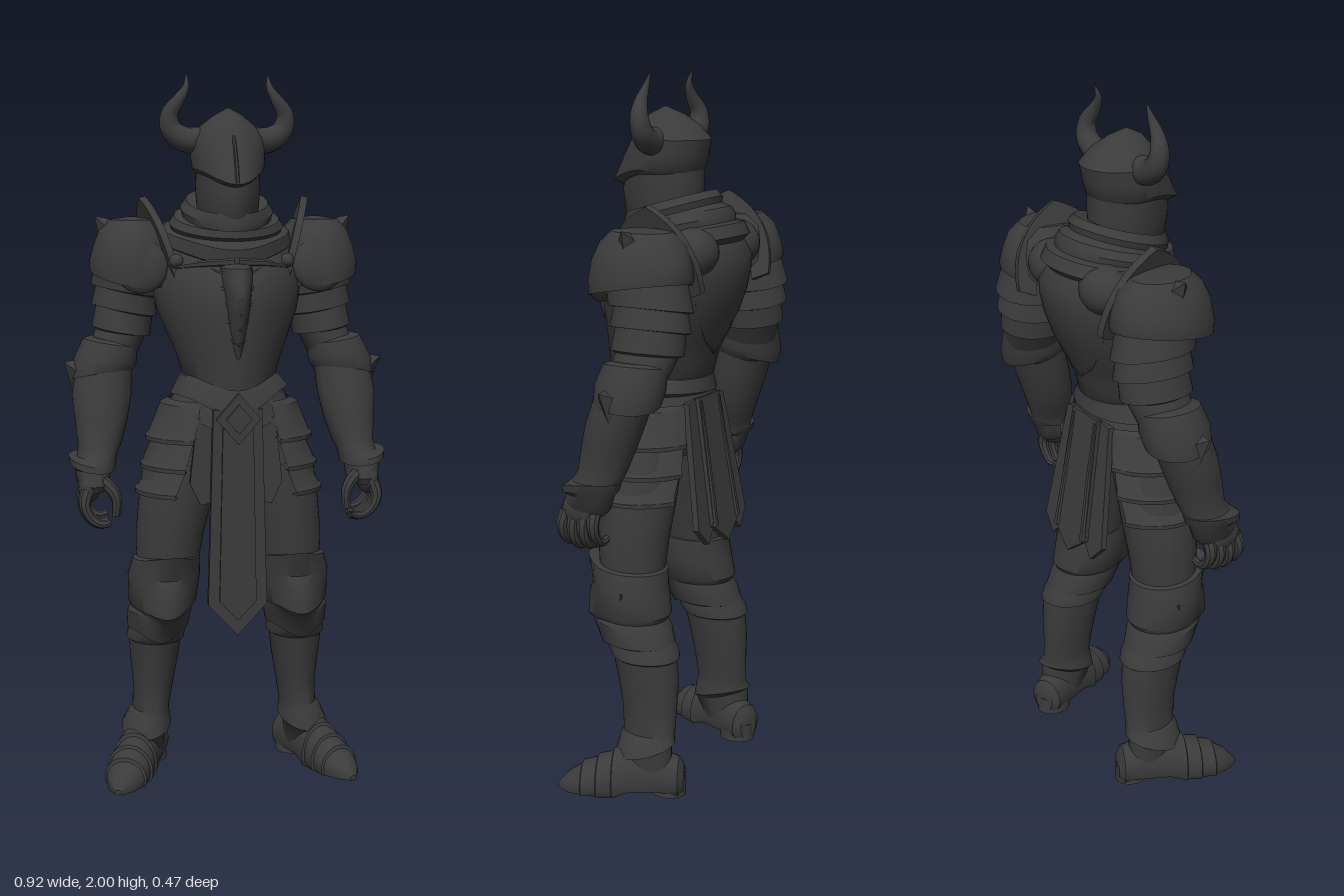
import * as THREE from 'three';
import { toCreasedNormals } from 'three/addons/utils/BufferGeometryUtils.js';

const darkSteel = new THREE.MeshStandardMaterial({ color: 0x3b3b3b, side: THREE.DoubleSide });
darkSteel.name = 'darkSteel';
const V = (p) => new THREE.Vector3(...p);

// Skin over horizontal rings, listed top to bottom.
// ring: [x, y, z, radiusX, radiusZ, tiltToFront, tiltToSide, prow, frontDip, prowSharpness]
function loft(rings, from = 0, to = 360, n = 36) {
  const pos = [], idx = [], open = to - from < 360;
  rings.forEach(([x, y, z, rx, rz, tz = 0, tx = 0, prow = 0, dip = 0, sharp = 5]) => {
    for (let j = 0; j <= n; j++) {
      const a = THREE.MathUtils.degToRad(from + (to - from) * j / n);
      const s = Math.sin(a), c = Math.cos(a), f = Math.pow(Math.max(0, c), sharp);
      pos.push(x + rx * s, y + tz * c + tx * s + dip * f, z + rz * c + prow * f);
    }
  });
  const w = n + 1, last = (rings.length - 1) * w;
  for (let i = 0; i < rings.length - 1; i++) for (let j = 0; j < n; j++) {
    const a = i * w + j, b = a + w;
    idx.push(a, b, a + 1, a + 1, b, b + 1);
  }
  if (!open) [[0, rings[0]], [last, rings.at(-1)]].forEach(([start, r], k) => {
    const c = pos.length / 3;
    pos.push(r[0], r[1], r[2]);
    for (let j = 0; j < n; j++) idx.push(c, start + j + k, start + j + 1 - k);
  });
  const g = new THREE.BufferGeometry();
  g.setAttribute('position', new THREE.Float32BufferAttribute(pos, 3));
  g.setIndex(idx);
  return g;
}

// Round tube along a curve, its radius scaled by taper(u)
function taperTube(points, radius, taper, n = 20, sides = 12) {
  const curve = new THREE.CatmullRomCurve3(points.map(V));
  const g = new THREE.TubeGeometry(curve, n, radius, sides), p = g.attributes.position, v = new THREE.Vector3();
  for (let i = 0; i < p.count; i++) {
    const u = Math.floor(i / (sides + 1)) / n, c = curve.getPointAt(u);
    v.fromBufferAttribute(p, i).sub(c).multiplyScalar(taper(u)).add(c);
    p.setXYZ(i, v.x, v.y, v.z);
  }
  return g;
}

// Pointed stud from base to tip
function spike(base, tip, r, flat = 1) {
  const d = V(tip).sub(V(base)), h = d.length();
  const q = new THREE.Quaternion().setFromUnitVectors(new THREE.Vector3(0, 1, 0), d.normalize());
  return new THREE.ConeGeometry(r, h, 4).translate(0, h / 2, 0).scale(1, 1, flat).applyQuaternion(q).translate(...base);
}

// Flat plate from an outline, leaning about x
function panel(points, depth, lean, at) {
  const shape = new THREE.Shape(points.map(([x, y]) => new THREE.Vector2(x, y)));
  return new THREE.ExtrudeGeometry(shape, { depth, bevelEnabled: false }).rotateX(lean).translate(...at);
}

function mirror(geo) {
  const g = geo.clone().scale(-1, 1, 1);
  for (const a of Object.values(g.attributes)) for (let i = 0; i < a.count; i += 3)
    for (let k = 0; k < a.itemSize; k++) {
      const t = a.getComponent(i + 1, k);
      a.setComponent(i + 1, k, a.getComponent(i + 2, k));
      a.setComponent(i + 2, k, t);
    }
  return g;
}

export function createModel() {
  const model = new THREE.Group();
  model.name = 'armouredKnight';
  const add = (name, geo) => {
    const g = toCreasedNormals(geo, 0.6);
    const m = new THREE.Mesh(g, darkSteel);
    m.name = name;
    model.add(m);
    return g;
  };
  const pair = (name, geo) => {
    const m = new THREE.Mesh(mirror(add(name + 'Left', geo)), darkSteel);
    m.name = name + 'Right';
    model.add(m);
  };

  // Helmet: pointed skull with a beaked brim over the face guard
  add('helmetSkull', loft([
    [0, 1.905, 0.005, 0.003, 0.004], [0, 1.885, 0, 0.04, 0.05], [0, 1.855, -0.01, 0.078, 0.085],
    [0, 1.82, -0.018, 0.102, 0.108, 0, 0, 0.008, 0, 3], [0, 1.775, -0.008, 0.104, 0.108, 0, 0, 0.035, -0.02, 3],
    [0, 1.74, 0.001, 0.1, 0.108, 0, 0, 0.056, -0.042, 3], [0, 1.728, 0.001, 0.09, 0.098, 0, 0, 0.035, -0.038, 3]]));
  add('faceGuard', loft([
    [0, 1.76, -0.005, 0.088, 0.1, 0, 0, 0.02], [0, 1.68, -0.005, 0.09, 0.1, 0, 0, 0.04, 0, 3],
    [0, 1.62, -0.005, 0.085, 0.095, -0.01, 0, 0.035, 0, 3], [0, 1.56, -0.005, 0.07, 0.08, -0.02, 0, 0.02]]));
  add('helmetCrest', taperTube([[0, 1.9, 0.008], [0, 1.83, 0.088], [0, 1.77, 0.132], [0, 1.7, 0.161]], 0.006, (u) => 0.6 + 0.4 * u, 16, 6));
  pair('horn', taperTube([[0.07, 1.815, -0.005], [0.12, 1.82, -0.01], [0.155, 1.845, -0.012], [0.162, 1.885, -0.008],
    [0.138, 1.925, 0], [0.117, 1.96, -0.002], [0.114, 1.999, -0.015]], 0.038, (u) => 1.02 - u * u * 0.55 - u * 0.44, 32, 16));

  // Wound cloth collar, lower at the front
  add('collar', loft([
    [0, 1.64, -0.015, 0.098, 0.105, -0.035, 0, 0.02], [0, 1.652, -0.02, 0.115, 0.12, -0.035, 0, 0.02],
    [0, 1.63, -0.025, 0.13, 0.132, -0.04, 0, 0.02], [0, 1.612, -0.025, 0.125, 0.13, -0.04, 0, 0.02],
    [0, 1.608, -0.03, 0.147, 0.15, -0.035, 0, 0.015], [0, 1.588, -0.035, 0.16, 0.158, -0.035, 0, 0.015],
    [0, 1.575, -0.04, 0.155, 0.155, -0.03, 0, 0.01], [0, 1.572, -0.045, 0.178, 0.172, -0.03, 0, 0.015, -0.02],
    [0, 1.54, -0.055, 0.19, 0.178, -0.03, 0, 0.015, -0.03], [0, 1.51, -0.055, 0.165, 0.15, -0.03]]));
  pair('shoulderCloth', new THREE.SphereGeometry(0.075, 20, 14).scale(1, 0.9, 0.9).translate(0.12, 1.53, -0.15));

  // Breastplate with a keel, narrowing to the waist
  add('breastplate', loft([
    [0, 1.6, -0.06, 0.12, 0.11], [0, 1.56, -0.065, 0.18, 0.145], [0, 1.51, -0.062, 0.205, 0.172],
    [0, 1.46, -0.048, 0.212, 0.184, 0, 0, 0.02], [0, 1.41, -0.035, 0.21, 0.186, 0, 0, 0.025],
    [0, 1.35, -0.022, 0.198, 0.178, 0, 0, 0.025], [0, 1.28, -0.005, 0.17, 0.16, 0, 0, 0.02],
    [0, 1.22, 0.008, 0.145, 0.147, 0, 0, 0.018], [0, 1.17, 0.012, 0.132, 0.14, 0, 0, 0.015, -0.03],
    [0, 1.155, 0.012, 0.12, 0.128]]));
  pair('breastRim', taperTube([[0.004, 1.49, 0.14], [0.08, 1.485, 0.118], [0.15, 1.475, 0.075]], 0.012, (u) => 1 - 0.4 * u, 12, 6));
  add('keel', loft([
    [0, 1.485, 0.12, 0.03, 0.055], [0, 1.475, 0.12, 0.045, 0.083], [0, 1.44, 0.12, 0.045, 0.098], [0, 1.4, 0.12, 0.04, 0.113],
    [0, 1.35, 0.12, 0.035, 0.1], [0, 1.3, 0.12, 0.028, 0.08], [0, 1.24, 0.12, 0.018, 0.058], [0, 1.2, 0.12, 0.008, 0.045]]));
  for (let i = 0; i < 5; i++) { // ribs spreading from the keel
    const y = 1.455 - i * 0.042, z = [0.163, 0.178, 0.182, 0.18, 0.172][i];
    add('keelStud' + i, spike([0, y - 0.01, z], [0, y - 0.02, [0.222, 0.233, 0.228, 0.212, 0.195][i]], 0.02));
    pair('rib' + i, taperTube([[0, y, z], [0.035, y + 0.006, z - 0.013], [0.075 - i * 0.008, y + 0.02, z - 0.038]], 0.012, (u) => 1.05 - u, 8, 6));
  }
  pair('strapStud', new THREE.SphereGeometry(0.02, 14, 10).translate(0.155, 1.49, 0.07));
  pair('backRidge', taperTube([[0.0, 1.24, -0.146], [0.07, 1.3, -0.152], [0.14, 1.4, -0.165]], 0.01, (u) => 0.4 + 0.6 * Math.sin(u * Math.PI), 10, 8));

  // Overlapping waist plates, dipping to a point in front
  add('waistPlates', loft([
    [0, 1.18, 0.012, 0.12, 0.125], [0, 1.172, 0.012, 0.138, 0.142, 0, 0, 0.012, -0.04],
    [0, 1.13, 0.014, 0.166, 0.15, 0, 0.01, 0.012, -0.06], [0, 1.127, 0.014, 0.15, 0.142, 0, 0, 0.01, -0.05],
    [0, 1.07, 0.014, 0.182, 0.153, 0, 0, 0.005, -0.05], [0, 1.065, 0.014, 0.168, 0.145],
    [0, 1.0, 0.01, 0.175, 0.14], [0, 0.95, 0.005, 0.14, 0.11]]));
  const diamond = (r) => [[0, -r * 1.15], [r, 0], [0, r * 1.15], [-r, 0]];
  add('buckle', panel(diamond(0.062), 0.014, 0, [0, 1.065, 0.17]));
  add('buckleInset', panel(diamond(0.036), 0.01, 0, [0, 1.065, 0.18]));

  // Hip lames, each flaring over the next
  [[1.105, 0.99, 0.145, 0.175, 20, 160], [1.01, 0.91, 0.158, 0.19, 26, 154], [0.93, 0.838, 0.172, 0.205, 32, 146]].forEach(([top, low, r0, r1, a, b], i) =>
    pair('hipLame' + i, loft([
      [0.045, top, 0.012, r0 - 0.02, r0 - 0.014], [0.05, top - 0.012, 0.012, r0, r0 - 0.01],
      [0.058, low + 0.02, 0.012, r1 - 0.004, 0.147 + i * 0.006], [0.06, low + 0.012, 0.012, r1 + 0.003, 0.153 + i * 0.006],
      [0.06, low, 0.012, r1 + 0.002, 0.152 + i * 0.006], [0.06, low + 0.004, 0.012, r1 - 0.015, 0.138]], a, b, 22)));

  // Hanging cloth, front and back
  add('frontCloth', panel([[-0.068, 0], [0.068, 0], [0.083, -0.55], [0, -0.64], [-0.083, -0.55]], 0.02, 0, [0, 1.09, 0.148]));
  add('frontClothInset', panel([[-0.042, 0], [0.042, 0], [0.052, -0.52], [0, -0.575], [-0.052, -0.52]], 0.008, 0, [0, 1.07, 0.167]));
  pair('frontClothSide', panel([[0.05, 0], [0.11, -0.02], [0.13, -0.2], [0.1, -0.26], [0.05, -0.25]], 0.014, 0, [0, 1.08, 0.128]));
  add('backCloth', panel([[-0.06, 0], [0.06, 0], [0.075, -0.36], [0, -0.42], [-0.075, -0.36]], 0.018, 0.16, [0, 1.12, -0.136]));
  pair('backClothSide', panel([[0.04, 0], [0.1, -0.01], [0.14, -0.36], [0.095, -0.41], [0.05, -0.36]], 0.018, 0.16, [0, 1.12, -0.124]));
  pair('backClothFold', taperTube([[0.05, 1.11, -0.134], [0.055, 0.95, -0.16], [0.064, 0.76, -0.19]], 0.01, (u) => 0.7 + 0.5 * u, 10, 6));

  // Legs
  pair('thigh', loft([
    [0.1, 1.05, 0.005, 0.09, 0.1], [0.13, 0.94, 0.005, 0.112, 0.112], [0.152, 0.82, 0.008, 0.105, 0.108],
    [0.17, 0.72, 0.01, 0.097, 0.1], [0.18, 0.6, 0.01, 0.085, 0.09]]));
  pair('kneeGuard', loft([
    [0.178, 0.655, 0.01, 0.085, 0.09, 0.005], [0.18, 0.648, 0.012, 0.096, 0.106, 0.005, 0, 0.028, 0.02, 4],
    [0.187, 0.6, 0.008, 0.103, 0.105, 0, 0, 0.008], [0.188, 0.57, 0.004, 0.1, 0.108, 0, 0, 0.026],
    [0.192, 0.52, -0.002, 0.097, 0.11, 0, 0, 0.035, -0.025, 4], [0.194, 0.505, -0.004, 0.087, 0.1, 0, 0, 0.028, -0.025, 4],
    [0.198, 0.49, -0.01, 0.092, 0.108, 0.01, 0, 0.015, -0.03], [0.203, 0.44, -0.028, 0.088, 0.104, 0, 0, 0.005, -0.03],
    [0.203, 0.43, -0.03, 0.07, 0.085]]));
  pair('kneeWing', spike([0.21, 0.54, 0.0], [0.295, 0.6, -0.02], 0.07, 0.6));
  pair('greave', loft([
    [0.2, 0.48, -0.02, 0.07, 0.085], [0.204, 0.425, -0.04, 0.082, 0.105], [0.207, 0.4, -0.05, 0.084, 0.1],
    [0.208, 0.395, -0.05, 0.076, 0.094], [0.21, 0.33, -0.06, 0.069, 0.09], [0.213, 0.25, -0.066, 0.058, 0.082],
    [0.22, 0.18, -0.068, 0.053, 0.078], [0.226, 0.165, -0.066, 0.06, 0.082], [0.234, 0.13, -0.062, 0.072, 0.09, -0.025, -0.01],
    [0.236, 0.125, -0.062, 0.06, 0.082, -0.025], [0.235, 0.05, -0.075, 0.05, 0.07]]));
  // Foot: rings run heel to toe, then laid down and flattened on the ground
  const foot = loft([
    [0, -0.1, 0.045, 0.03, 0.04], [0, -0.085, 0.05, 0.05, 0.06], [0, -0.02, 0.05, 0.055, 0.085],
    [0, 0.05, 0.045, 0.06, 0.098], [0, 0.1, 0.035, 0.068, 0.09], [0, 0.103, 0.035, 0.062, 0.08],
    [0, 0.145, 0.03, 0.068, 0.074], [0, 0.148, 0.03, 0.061, 0.065], [0, 0.19, 0.022, 0.062, 0.06],
    [0, 0.193, 0.02, 0.056, 0.052], [0, 0.23, 0.012, 0.04, 0.038], [0, 0.262, 0.004, 0.01, 0.01]])
    .scale(1, -1, 1).rotateX(-Math.PI / 2);
  const fp = foot.attributes.position;
  for (let i = 0; i < fp.count; i++) { // raised arch between heel and ball
    const z = fp.getZ(i);
    fp.setY(i, Math.max(fp.getY(i), z > -0.03 && z < 0.07 ? 0.02 : 0));
  }
  pair('foot', foot.rotateY(0.4).translate(0.238, 0, -0.078));
  pair('heel', loft([[0.212, 0.05, -0.125, 0.042, 0.05], [0.212, 0, -0.125, 0.045, 0.053]]));

  // Shoulder guards: dome, upright crest and ridge
  pair('pauldron', loft([
    [0.262, 1.608, -0.075, 0.01, 0.02], [0.262, 1.6, -0.075, 0.065, 0.085], [0.262, 1.57, -0.075, 0.092, 0.118],
    [0.263, 1.525, -0.073, 0.108, 0.138], [0.264, 1.475, -0.072, 0.118, 0.147, -0.01, 0.01],
    [0.266, 1.445, -0.072, 0.115, 0.144, -0.025, 0.015], [0.27, 1.45, -0.072, 0.09, 0.122, -0.02, 0.01]]));
  const crest = new THREE.Shape();
  crest.moveTo(0.148, -0.06).quadraticCurveTo(0.155, 0.1, 0.01, 0.17).quadraticCurveTo(-0.145, 0.11, -0.15, -0.06);
  crest.lineTo(-0.1, -0.08).quadraticCurveTo(-0.08, 0.06, 0, 0.06).quadraticCurveTo(0.09, 0.06, 0.1, -0.08);
  pair('pauldronCrest', new THREE.ExtrudeGeometry(crest, { depth: 0.02, bevelEnabled: false, curveSegments: 14 })
    .rotateY(Math.PI / 2).rotateZ(-0.26).rotateY(-0.15).translate(0.178, 1.5, -0.072));
  pair('pauldronRidge', spike([0.285, 1.53, -0.075], [0.366, 1.61, -0.075], 0.075));
  pair('pauldronFrontDisc', new THREE.SphereGeometry(0.075, 20, 12).scale(1, 1, 0.35).rotateX(-0.15).translate(0.25, 1.475, 0.045));

  // Upper arm lames
  pair('upperArm', loft([
    [0.272, 1.5, -0.09, 0.09, 0.11], [0.278, 1.4, -0.11, 0.098, 0.118, 0, 0.018], [0.278, 1.397, -0.11, 0.084, 0.104, 0, 0.018],
    [0.282, 1.345, -0.112, 0.093, 0.112, 0, 0.018], [0.282, 1.342, -0.112, 0.08, 0.098, 0, 0.018],
    [0.292, 1.285, -0.108, 0.083, 0.102, 0, 0.015], [0.294, 1.282, -0.108, 0.07, 0.088, 0, 0.01], [0.33, 1.2, -0.09, 0.07, 0.08]]));
  // Elbow guard and forearm
  pair('elbowGuard', loft([
    [0.32, 1.262, -0.095, 0.06, 0.075, 0, 0.01], [0.325, 1.255, -0.092, 0.076, 0.088, 0, 0.012],
    [0.342, 1.2, -0.085, 0.092, 0.095, 0.01, 0], [0.348, 1.165, -0.08, 0.09, 0.09, 0.015, -0.015], [0.35, 1.16, -0.075, 0.075, 0.075]]));
  pair('elbowSpike', spike([0.375, 1.15, -0.075], [0.459, 1.203, -0.06], 0.085, 0.9));
  pair('elbowUpperSpike', spike([0.345, 1.18, -0.075], [0.389, 1.25, -0.065], 0.065));
  pair('forearm', loft([
    [0.345, 1.19, -0.075, 0.08, 0.08], [0.354, 1.11, -0.05, 0.084, 0.08], [0.358, 1.04, -0.03, 0.074, 0.076],
    [0.366, 0.97, -0.012, 0.06, 0.068], [0.375, 0.945, 0, 0.056, 0.07], [0.388, 0.935, 0.008, 0.066, 0.083, -0.01, 0.012],
    [0.388, 0.918, 0.012, 0.063, 0.082, -0.01, 0.008], [0.388, 0.91, 0.012, 0.05, 0.07], [0.386, 0.87, 0.025, 0.045, 0.07], [0.386, 0.85, 0.03, 0.028, 0.055]]));

  // Gauntlet hand, fingers curled towards the thumb
  pair('handBack', new THREE.SphereGeometry(0.05, 18, 12).scale(0.62, 0.95, 1.15).translate(0.4, 0.865, 0.035));
  for (let i = 0; i < 4; i++) {
    const z = 0.085 - i * 0.032, d = [0, -0.008, -0.004, 0.008][i];
    pair('finger' + i, taperTube([[0.406, 0.86, z * 0.9], [0.416, 0.82 + d, z], [0.4, 0.782 + d, z], [0.37, 0.763 + d, z], [0.345, 0.768 + d, z]], 0.017, (u) => 1.1 - 0.5 * u, 14, 8));
  }
  pair('thumb', taperTube([[0.385, 0.89, 0.055], [0.35, 0.87, 0.07], [0.328, 0.835, 0.08], [0.33, 0.785, 0.08]], 0.019, (u) => 1.1 - 0.5 * u, 12, 8));

  return model;
}
